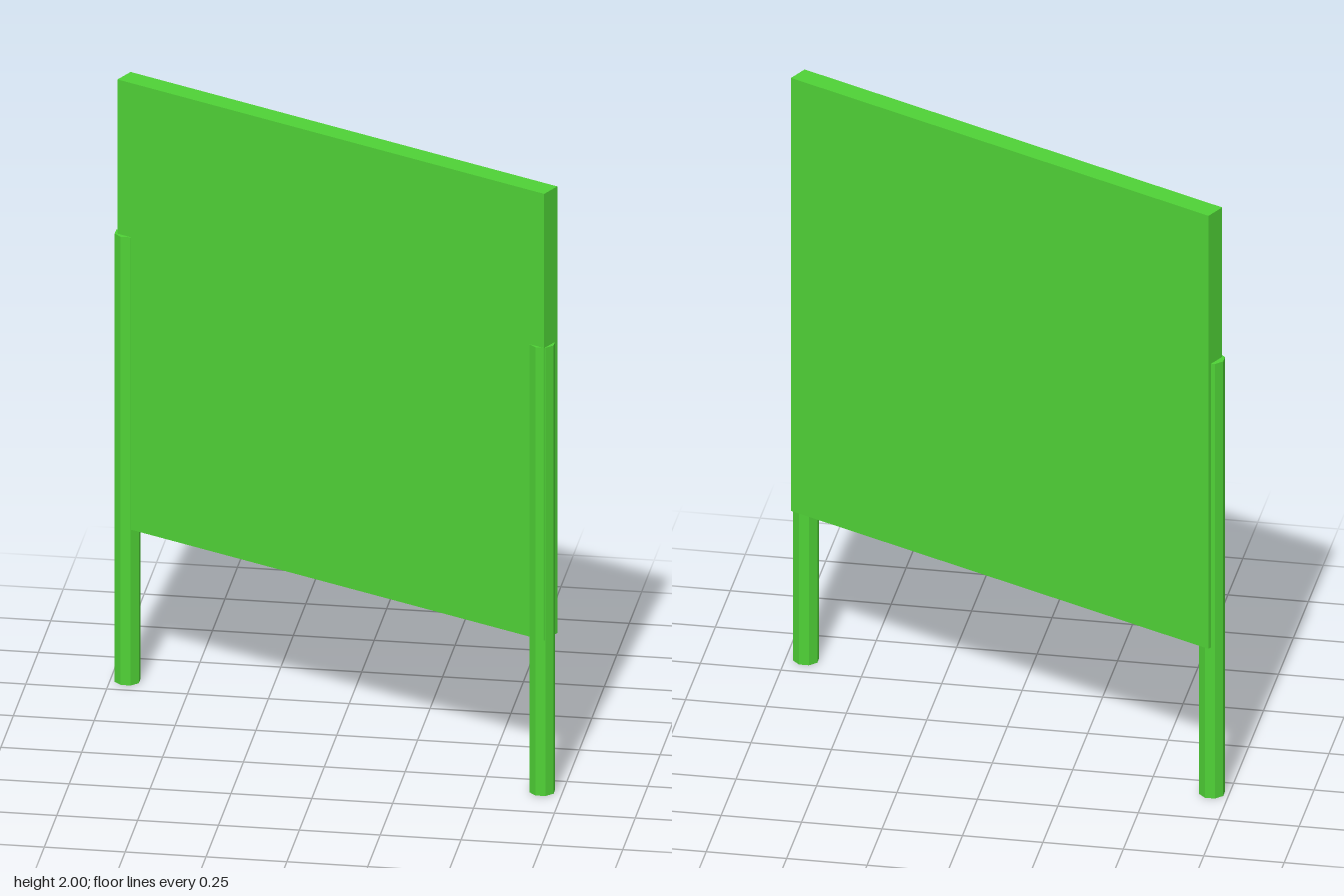
import * as THREE from 'three';

export function createModel() {
  const group = new THREE.Group();
  group.name = 'signboard';
  const green = new THREE.MeshStandardMaterial({ color: 0x4fd136, flatShading: true });

  // Board, turned about the vertical axis
  const bottom = 0.517, top = 2;
  const panel = new THREE.Mesh(new THREE.BoxGeometry(1.581, top - bottom, 0.071), green);
  panel.name = 'panel';
  panel.position.set(0.002, (bottom + top) / 2, 0);
  panel.rotation.y = -THREE.MathUtils.degToRad(25.67);
  group.add(panel);

  // Eight-sided posts with flats facing the axes, half sunk into the board ends
  const postHeight = 1.488;
  const postGeometry = new THREE.CylinderGeometry(0.0405, 0.0405, postHeight, 8, 1, false, Math.PI / 8);
  const posts = { leftPost: [0.687, 0.335], rightPost: [-0.697, -0.325] };
  for (const [name, [x, z]] of Object.entries(posts)) {
    const post = new THREE.Mesh(postGeometry, green);
    post.name = name;
    post.position.set(x, postHeight / 2, z);
    group.add(post);
  }
  return group;
}
